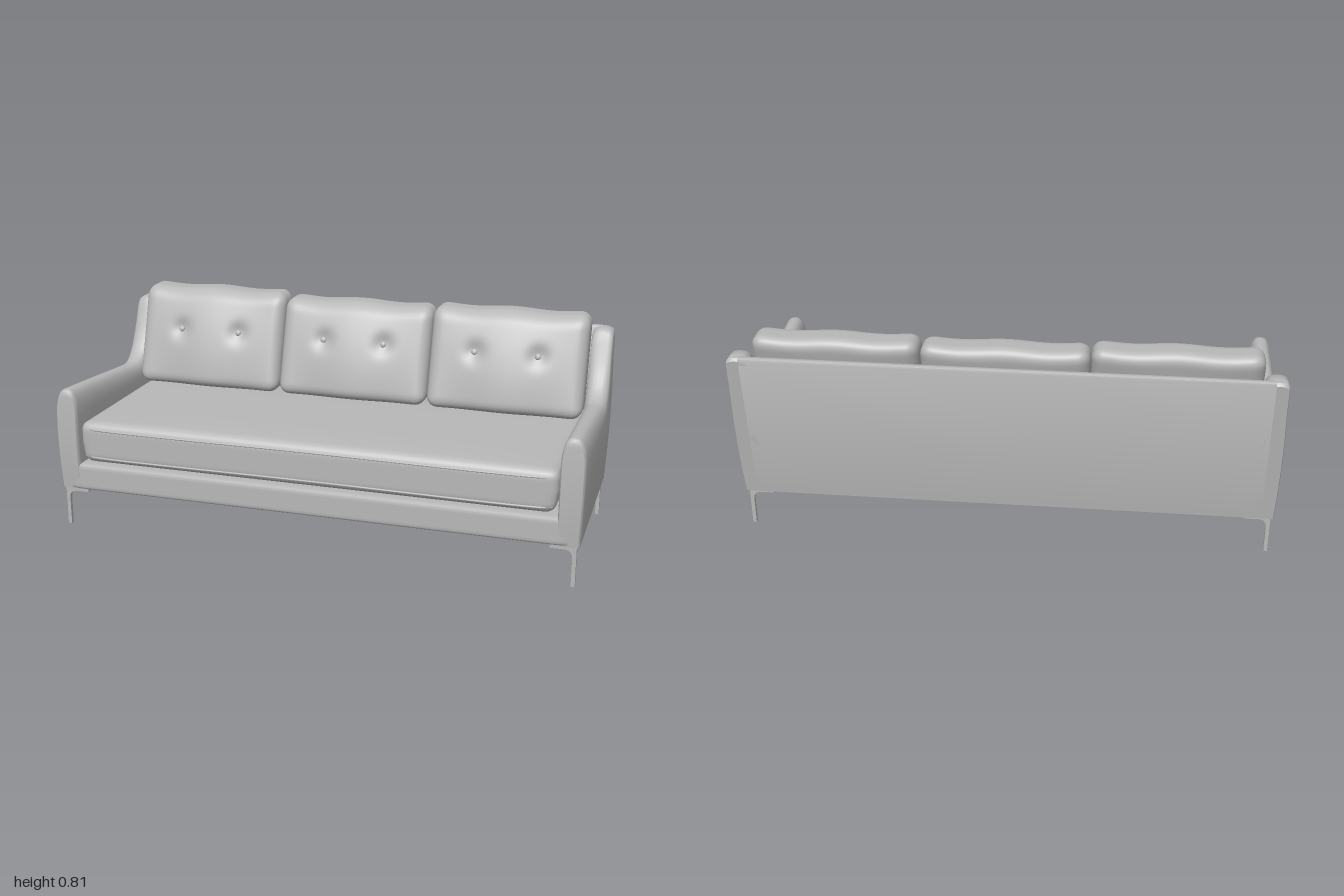
import * as THREE from 'three';
import { mergeVertices, toCreasedNormals } from 'three/addons/utils/BufferGeometryUtils.js';

const lerp = THREE.MathUtils.lerp;
const fabric = new THREE.MeshStandardMaterial({ color: 0xb8b8b8 });
fabric.name = 'grey';

function add(parent, name, geometry) {
  const mesh = new THREE.Mesh(geometry, fabric);
  mesh.name = name;
  parent.add(mesh);
  return mesh;
}

// Subdivided box with rounded edges, then bent by a rule
function softBox(w, h, d, r, segs, bend) {
  let g = new THREE.BoxGeometry(w, h, d, ...segs);
  g.deleteAttribute('uv');
  g.deleteAttribute('normal');
  g = mergeVertices(g, 1e-5);
  const inner = new THREE.Vector3(w / 2 - r, h / 2 - r, d / 2 - r);
  const low = inner.clone().negate();
  const pos = g.attributes.position;
  const p = new THREE.Vector3(), c = new THREE.Vector3();
  for (let i = 0; i < pos.count; i++) {
    p.fromBufferAttribute(pos, i);
    c.copy(p).clamp(low, inner);
    p.sub(c).setLength(r).add(c);
    if (bend) bend(p);
    pos.setXYZ(i, p.x, p.y, p.z);
  }
  g.computeVertexNormals();
  return g;
}

// Extrude a (z, y) outline across x, centred
function across(shape, width) {
  const g = new THREE.ExtrudeGeometry(shape, { depth: width, bevelEnabled: false, curveSegments: 6 });
  return g.translate(0, 0, -width / 2).rotateY(-Math.PI / 2);
}

// Curved front and raked rear of the frame
const frontZ = y => 0.412 - 0.25 * (y - 0.35) ** 2;
const backZ = y => -0.33 - 0.135 * (y - 0.15);

// Arm: domed sections swept from front to back. Each station: z, top height, dome height, inset
const armStations = [
  [0.402, 0.545, 0.1, 0.01], [0.396, 0.545, 0.1, 0.002], [0.385, 0.544, 0.1, 0],
  [0.25, 0.533, 0.09, 0], [0.1, 0.52, 0.08, 0], [-0.05, 0.507, 0.07, 0],
  [-0.13, 0.5, 0.06, 0], [-0.165, 0.502, 0.06, 0], [-0.2, 0.518, 0.06, 0],
  [-0.23, 0.545, 0.06, 0], [-0.255, 0.58, 0.06, 0], [-0.28, 0.63, 0.06, 0],
  [-0.305, 0.69, 0.05, 0], [-0.322, 0.73, 0.04, 0], [-0.335, 0.742, 0.03, 0],
  [-0.37, 0.743, 0.025, 0], [-0.4, 0.743, 0.025, 0.001], [-0.411, 0.738, 0.025, 0.006],
];

function armGeometry(side) {
  const verts = [], index = [], dome = 12, wall = 5;
  const ring = dome + 1 + wall * 2, last = armStations.length - 1;
  const tri = (a, b, c) => (side > 0 ? index.push(a, b, c) : index.push(a, c, b));
  armStations.forEach(([z, h, r, inset], i) => {
    const s = i === 0 ? 0 : i === last ? 1 : (frontZ(h) - z) / (frontZ(h) - backZ(h));
    const base = h - r;
    const put = (x, y) => {
      const swell = x > 0.95 ? 0.007 * Math.sin(Math.PI * Math.min(1, (y - 0.15) / 0.5)) : 0;
      const px = 0.948 + (x + swell - 0.948) * (1 - inset * 14);
      verts.push(side * px, y, lerp(frontZ(y), backZ(y), s));
    };
    for (let k = 0; k < wall; k++) put(0.987, lerp(0.15, base, k / wall));
    for (let k = 0; k <= dome; k++) {
      const a = Math.PI * k / dome, c = Math.cos(a);
      put(0.947 + 0.04 * Math.sign(c) * Math.abs(c) ** 0.8, base + (r - inset) * Math.sin(a) ** 0.9);
    }
    for (let k = wall - 1; k >= 0; k--) put(0.907, lerp(0.15, base, k / wall));
  });
  for (let i = 0; i < last; i++) {
    for (let k = 0; k < ring; k++) {
      const n = (k + 1) % ring, a = i * ring, b = a + ring;
      tri(a + k, b + k, a + n);
      tri(a + n, b + k, b + n);
    }
  }
  // end caps
  const o = last * ring;
  for (let k = 0; k < ring / 2 - 1; k++) {
    const m = ring - 1 - k;
    tri(k, k + 1, m); tri(k + 1, m - 1, m);
    tri(o + k, o + m, o + k + 1); tri(o + k + 1, o + m, o + m - 1);
  }
  const g = new THREE.BufferGeometry();
  g.setAttribute('position', new THREE.Float32BufferAttribute(verts, 3));
  g.setIndex(index);
  return toCreasedNormals(g, 0.8);
}

// Back cushion: leaning pillow with two buttoned dimples
const buttonX = 0.122, buttonY = 0.655;
function backCushion(height) {
  const cushion = new THREE.Group();
  add(cushion, 'pillow', softBox(0.603, height, 0.14, 0.045, [48, 32, 12], p => {
    const u = p.x / 0.3, v = p.y / (height / 2), f = p.z / 0.07;
    const puff = Math.max(0, 1 - u * u) * Math.max(0, 1 - v * v);
    const y = p.y + 0.428 + height / 2;
    let z = p.z + f * (f > 0 ? 0.024 : 0.01) * puff;
    if (f > 0) {
      const d2 = (Math.abs(p.x) - buttonX) ** 2 + (y - buttonY) ** 2;
      z -= 0.02 * f * Math.exp(-d2 / 0.0012);
      z += 0.008 * f * Math.cos(u * 5) * (1 - v) / 2;
    }
    p.z = z - 0.19 - 0.31 * (y - 0.43);
    p.y = y + 0.004 * Math.cos(u * 6) * Math.max(0, v);
  }));
  for (const s of [-1, 1]) {
    const button = add(cushion, 'button', new THREE.SphereGeometry(0.012, 14, 10));
    button.scale.z = 0.6;
    button.rotation.x = -0.35;
    button.position.set(s * buttonX, buttonY, -0.181);
  }
  return cushion;
}

// Leg: thin post with two filleted brackets and a corner plate, facing inward by sx, sz
function leg(x, z, sx, sz) {
  const g = new THREE.Group();
  const t = 0.014;
  const bracket = new THREE.Shape();
  bracket.moveTo(0, 0);
  bracket.lineTo(t, 0);
  bracket.lineTo(t, 0.105);
  bracket.quadraticCurveTo(t, 0.135, 0.042, 0.137);
  bracket.lineTo(0.094, 0.137);
  bracket.lineTo(0.094, 0.152);
  bracket.lineTo(0, 0.152);
  const geo = new THREE.ExtrudeGeometry(bracket, { depth: t, bevelEnabled: false, curveSegments: 6 });
  const alongX = add(g, 'sideBracket', geo);
  alongX.rotation.y = sx > 0 ? 0 : Math.PI;
  alongX.position.z = sx > 0 ? -t / 2 : t / 2;
  alongX.position.x = -sx * t / 2;
  const alongZ = add(g, 'depthBracket', geo);
  alongZ.rotation.y = sz > 0 ? -Math.PI / 2 : Math.PI / 2;
  alongZ.position.x = sz > 0 ? t / 2 : -t / 2;
  alongZ.position.z = -sz * t / 2;
  const corner = new THREE.Shape([[0, 0], [0.085, 0], [0, 0.085]].map(([a, b]) => new THREE.Vector2(a * sx, b * sz)));
  const plate = new THREE.ExtrudeGeometry(corner, { depth: 0.008, bevelEnabled: false });
  add(g, 'cornerPlate', plate.rotateX(Math.PI / 2).translate(0, 0.152, 0));
  g.position.set(x, 0, z);
  return g;
}

export function createModel() {
  const sofa = new THREE.Group();
  sofa.name = 'sofa';

  // Frame: base rail, raked back, two arms
  add(sofa, 'base', softBox(1.9, 0.102, 0.725, 0.012, [40, 10, 40], p => {
    p.y += 0.201;
    p.z += 0.0445;
  }));
  const back = new THREE.Shape();
  back.moveTo(-0.29, 0.15);
  back.lineTo(-0.33, 0.15);
  back.lineTo(backZ(0.73), 0.73);
  back.quadraticCurveTo(backZ(0.742), 0.743, -0.4, 0.743);
  back.lineTo(-0.388, 0.743);
  back.quadraticCurveTo(-0.379, 0.742, -0.377, 0.73);
  back.lineTo(-0.27, 0.25);
  add(sofa, 'backFrame', toCreasedNormals(across(back, 1.88), 0.7));
  add(sofa, 'leftArm', armGeometry(1));
  add(sofa, 'rightArm', armGeometry(-1));

  // Seat cushion with two welts along its front
  add(sofa, 'seatCushion', softBox(1.808, 0.16, 0.67, 0.035, [80, 16, 50], p => {
    const u = p.x / 0.904, w = p.z / 0.335;
    if (p.y > 0) p.y += 0.01 * (1 - u ** 4) * (1 - w ** 4);
    else p.x *= 1 - 0.012 * (-p.y / 0.08);
    p.y += 0.339;
    p.z += 0.066;
  }));
  for (const y of [0.284, 0.394]) {
    const welt = new THREE.CatmullRomCurve3([[-0.885, 0.388], [-0.86, 0.399], [0, 0.4], [0.86, 0.399], [0.885, 0.388]]
      .map(([x, z]) => new THREE.Vector3(x, y, z)));
    add(sofa, 'seatWelt', new THREE.TubeGeometry(welt, 40, 0.004, 6));
  }

  // Three back cushions
  [0.382, 0.368, 0.376].forEach((height, i) => {
    const cushion = backCushion(height);
    cushion.name = 'backCushion';
    cushion.position.x = (i - 1) * 0.605;
    sofa.add(cushion);
  });

  // Four legs
  for (const sx of [-1, 1]) {
    for (const [z, sz] of [[0.388, -1], [-0.309, 1]]) {
      const l = leg(sx * 0.97, z, -sx, sz);
      l.name = sz < 0 ? 'frontLeg' : 'backLeg';
      sofa.add(l);
    }
  }
  return sofa;
}
